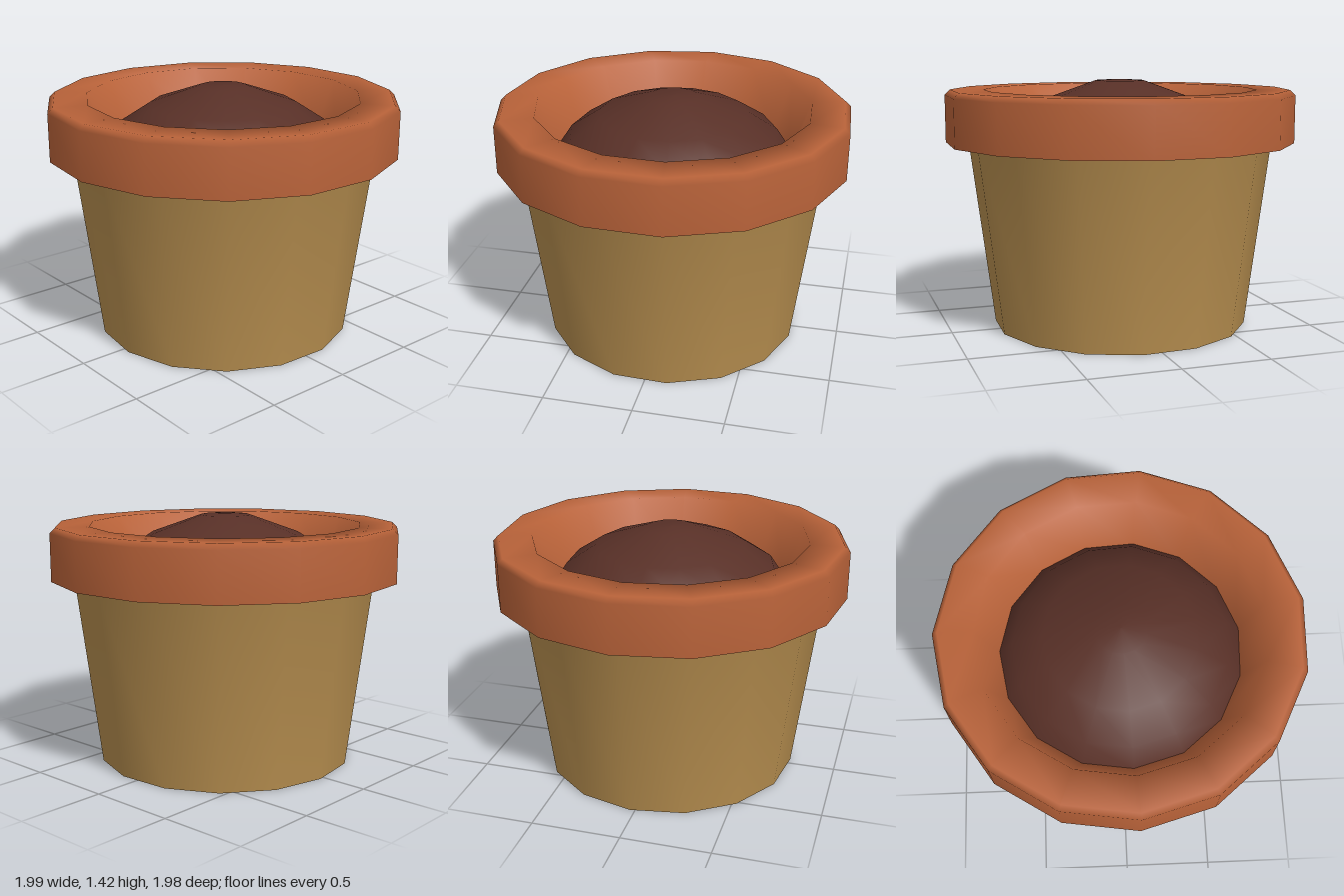
import * as THREE from 'three';

const SIDES = 15;
const PHASE = THREE.MathUtils.degToRad(9.7);

const material = (name, color) => {
  const m = new THREE.MeshStandardMaterial({ color, side: THREE.DoubleSide });
  m.name = name;
  return m;
};

// Turns a [radius, height] profile into a smooth-shaded fifteen-sided part
function turned(name, profile, mat) {
  const points = profile.map(([r, y]) => new THREE.Vector2(r, y));
  const mesh = new THREE.Mesh(new THREE.LatheGeometry(points, SIDES, PHASE), mat);
  mesh.name = name;
  return mesh;
}

export function createModel() {
  const clay = material('tan clay', 0xb99050);
  const terracotta = material('terracotta', 0xb86239);
  const earth = material('dark soil', 0x583027);

  const pot = new THREE.Group();
  pot.name = 'flowerPot';
  pot.add(
    // Tapered wall, open below, flaring into the flat underside of the rim
    turned('wall', [[0.735, 0], [0.87, 1.06], [0.995, 1.06]], clay),
    // Thick collar: outer side, small bevel, flat top, sloping inner side
    turned('rim', [[1, 1.06], [1, 1.33], [0.97, 1.36], [0.78, 1.36], [0.66, 1.06]], terracotta),
    // Low mound of soil
    turned('soil', [[0.67, 1.08], [0.59, 1.2], [0.42, 1.31], [0.14, 1.41], [0, 1.417]], earth),
  );
  return pot;
}
